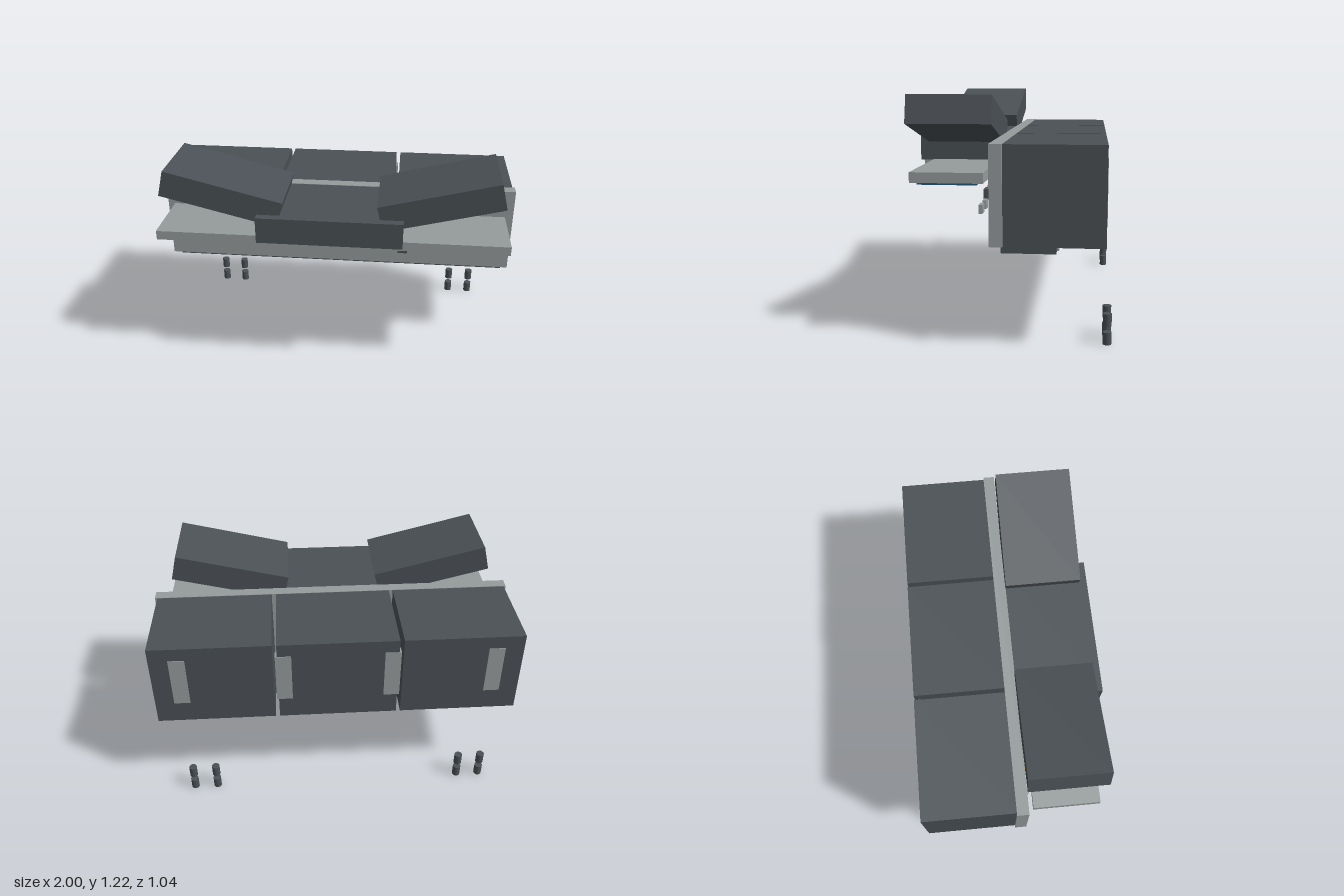
import * as THREE from 'three';

const mat = (name, color) => {
  const m = new THREE.MeshStandardMaterial({ color });
  m.name = name;
  return m;
};

export function createModel() {
  const root = new THREE.Group();
  root.name = 'controlConsole';
  const dark = mat('charcoal', 0x4a5055);
  const light = mat('lightGrey', 0x959b9b);
  const gold = mat('gold', 0xd8a52c);
  const red = mat('red', 0xd9432f);
  const green = mat('green', 0x2ecc71);
  const blue = mat('boardBlue', 0x1f5878);

  const add = (name, geo, material, x, y, z) => {
    const m = new THREE.Mesh(geo, material);
    m.name = name;
    m.position.set(x, y, z);
    root.add(m);
    return m;
  };
  // box given by its extents
  const box = (name, material, x0, x1, y0, y1, z0, z1) => add(name,
    new THREE.BoxGeometry(x1 - x0, y1 - y0, z1 - z0), material,
    (x0 + x1) / 2, (y0 + y1) / 2, (z0 + z1) / 2);
  // round part pointing forward
  const disc = (name, material, x, y, z0, z1, r, sides = 24) => {
    const geo = new THREE.CylinderGeometry(r, r, z1 - z0, sides);
    geo.rotateX(Math.PI / 2);
    return add(name, geo, material, x, y, (z0 + z1) / 2);
  };

  // front panel, rear cabinets and base
  box('frontPanel', light, -1, 1, 0.515, 1, 0, 0.063);
  for (const [a, b] of [[-0.987, -0.345], [-0.322, 0.322], [0.345, 0.987]])
    box('rearCabinet', dark, a, b, 0.515, 0.998, -0.487, 0);
  box('base', dark, -0.97, 0.97, 0.48, 0.517, -0.252, 0.012);

  // canopies: one level, two tilted wings
  box('centreCanopy', dark, -0.385, 0.385, 0.855, 0.998, 0.063, 0.523);
  const tilt = 0.244;
  for (const s of [-1, 1]) {
    const wing = add('sideCanopy', new THREE.BoxGeometry(0.64, 0.143, 0.417), dark,
      s * 0.573, 1.075, 0.27);
    wing.rotation.z = s * tilt;
  }

  // shelves with circuit boards and indicator strips underneath
  const shelves = [
    { x: -0.655, w: 0.59, front: 0.45, board: 0.54, strip: 0.42 },
    { x: 0, w: 0.72, front: 0.51, board: 0.67, strip: 0.5 },
    { x: 0.655, w: 0.59, front: 0.45, board: 0.54, strip: 0.42 },
  ];
  for (const { x, w, front, board, strip } of shelves) {
    box('shelf', light, x - w / 2, x + w / 2, 0.807, 0.858, 0.095, front);
    box('circuitBoard', blue, x - board / 2, x + board / 2, 0.795, 0.808, 0.13, front - 0.03);
    for (let i = 0; i < 5; i++) {
      const z = front - 0.05 - i * 0.045;
      box('indicatorStrip', green, x - strip / 2, x + strip / 2, 0.789, 0.796, z - 0.006, z + 0.006);
    }
  }

  // row of dark push buttons
  for (let i = 0; i < 6; i++) {
    const x = -0.37 + i * 0.148;
    box('pushButton', dark, x - 0.041, x + 0.041, 0.64, 0.697, 0.14, 0.175);
    disc('buttonStem', dark, x, 0.668, 0.06, 0.14, 0.02, 12);
  }
  for (const x of [0.196, 0.314]) disc('selectorKnob', dark, x, 0.668, 0.063, 0.14, 0.032, 8);

  // emergency stop
  disc('stopCollar', gold, 0.37, 0.668, 0.063, 0.092, 0.066, 32);
  disc('stopButton', red, 0.37, 0.668, 0.092, 0.14, 0.048, 32);

  // small light switches and pilot lamps
  for (const s of [-1, 1]) {
    for (const x of [0.705, 0.835]) {
      box('lightSwitch', light, s * x - 0.032, s * x + 0.032, 0.647, 0.692, 0.112, 0.13);
      disc('switchStem', gold, s * x, 0.677, 0.063, 0.085, 0.013, 12);
    }
    disc('pilotLamp', s > 0 ? green : light, s * 0.537, 0.678, 0.06, 0.08, 0.013, 16);
  }

  for (const s of [-1, 1]) {
    // upright plates on the back
    for (const x of [0.842, 0.29])
      box('rearPlate', light, s * x - 0.043, s * x + 0.043, 0.64, 0.925, -0.491, -0.447);
    // vent slats under the base
    for (let i = 0; i < 5; i++) {
      const z = -0.1 - i * 0.0385;
      box('ventSlat', light, s * 0.77 - 0.08, s * 0.77 + 0.08, 0.468, 0.481, z - 0.006, z + 0.006);
    }
    // paired short feet, stacked in two levels
    for (const x of [0.71, 0.84])
      for (const y of [0.032, 0.126])
        add('foot', new THREE.CylinderGeometry(0.022, 0.022, 0.063, 16), dark, s * x, y, -0.499);
  }
  return root;
}
